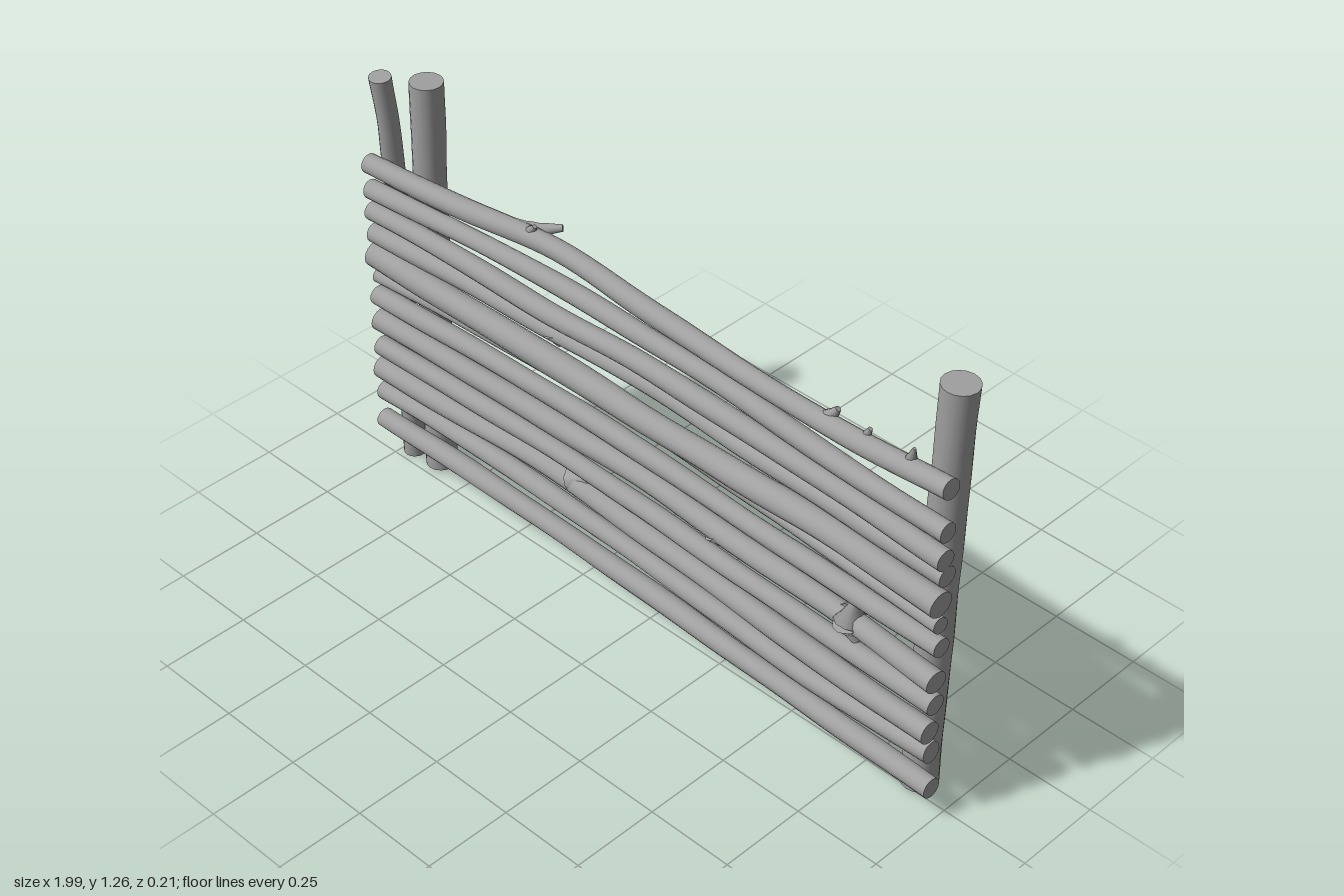
import * as THREE from 'three';

const wood = new THREE.MeshStandardMaterial({ color: 0xa0a0a0 });
wood.name = 'greyWood';

// Slightly uneven round branch through the points [x, y, z, radius], with flat sawn ends
function branch(name, pts, seed, wobble = 0.06, rings = 48, sides = 16) {
  const curve = new THREE.CatmullRomCurve3(pts.map(p => new THREE.Vector3(p[0], p[1], p[2])));
  const geo = new THREE.TubeGeometry(curve, rings, 1, sides, false);
  const pos = geo.attributes.position, nor = geo.attributes.normal;
  const centres = [];
  for (let i = 0; i <= rings; i++) {
    const u = i / rings, c = curve.getPointAt(u);
    centres.push(c);
    const f = curve.getUtoTmapping(u) * (pts.length - 1);
    const k = Math.min(Math.floor(f), pts.length - 2);
    const r0 = THREE.MathUtils.lerp(pts[k][3], pts[k + 1][3], f - k);
    for (let j = 0; j <= sides; j++) {
      const n = i * (sides + 1) + j, a = (j / sides) * Math.PI * 2;
      const r = r0 * (1 + wobble * (0.6 * Math.sin(u * 17 + seed * 2.3)
        + 0.5 * Math.sin(2 * a + seed + u * 5) + 0.4 * Math.sin(u * 31 + a + seed * 4.1)));
      pos.setXYZ(n, c.x + nor.getX(n) * r, c.y + nor.getY(n) * r, c.z + nor.getZ(n) * r);
    }
  }
  // Sawn ends
  const verts = [];
  const at = n => [pos.getX(n), pos.getY(n), pos.getZ(n)];
  for (let j = 0; j < sides; j++) {
    const e = rings * (sides + 1) + j;
    verts.push(...centres[0].toArray(), ...at(j), ...at(j + 1));
    verts.push(...centres[rings].toArray(), ...at(e + 1), ...at(e));
  }
  const cap = new THREE.BufferGeometry();
  cap.setAttribute('position', new THREE.Float32BufferAttribute(verts, 3));
  cap.computeVertexNormals();
  const group = new THREE.Group();
  group.name = name;
  const bark = new THREE.Mesh(geo, wood), ends = new THREE.Mesh(cap, wood);
  bark.name = name + 'Bark';
  ends.name = name + 'Ends';
  group.add(bark, ends);
  return group;
}

// Rail heights at the stations below, then radius, then z at left, middle and right
const stations = [-0.98, -0.65, -0.35, 0, 0.3, 0.62, 0.99];
const rails = [
  { y: [0.985, 0.995, 1.005, 0.985, 0.98, 1.0, 1.03], r: 0.028, z: [0.04, 0.025, -0.005, 0.0, 0.015, 0.045, 0.06] },
  { y: [0.905, 0.92, 0.927, 0.917, 0.915, 0.9, 0.905], r: 0.027, z: [0.04, 0.015, 0.06] },
  { y: [0.84, 0.845, 0.835, 0.845, 0.84, 0.835, 0.825], r: 0.028, z: [0.04, 0.03, 0.06] },
  { y: [0.77, 0.77, 0.762, 0.77, 0.757, 0.765, 0.77], r: 0.028, z: [0.04, 0.0, 0.05] },
  { y: [0.705, 0.692, 0.69, 0.68, 0.685, 0.7, 0.695], r: 0.036, z: [0.04, 0.03, 0.065] },
  { y: [0.632, 0.63, 0.622, 0.61, 0.607, 0.612, 0.63], r: 0.022, z: [0.035, -0.02, 0.06] },
  { y: [0.57, 0.573, 0.572, 0.562, 0.552, 0.55, 0.555], r: 0.028, z: [0.04, 0.02, 0.05] },
  { y: [0.492, 0.478, 0.468, 0.46, 0.447, 0.458, 0.455], r: 0.031, z: [0.04, 0.0, 0.06] },
  { y: [0.405, 0.402, 0.4, 0.385, 0.373, 0.372, 0.38], r: 0.028, z: [0.04, 0.02, 0.055] },
  { y: [0.335, 0.33, 0.338, 0.305, 0.293, 0.285, 0.3], r: 0.031, z: [0.045, 0.02, 0.07] },
  { y: [0.255, 0.256, 0.245, 0.225, 0.21, 0.2, 0.23], r: 0.028, z: [0.04, 0.025, 0.057] },
  { y: [0.162, 0.155, 0.142, 0.125, 0.112, 0.105, 0.102], r: 0.029, z: [0.045, 0.025, 0.045] },
];

// Height z of a rail at station i
function railZ(z, i) {
  if (z.length === stations.length) return z[i];
  const x = stations[i], side = x < 0 ? z[0] : z[2];
  return THREE.MathUtils.lerp(z[1], side, Math.abs(x) ** 1.5);
}

export function createModel() {
  const model = new THREE.Group();
  model.name = 'branchFence';

  // Upright posts
  model.add(branch('rightPost', [[0.89, 0.01, -0.035, 0.048], [0.898, 0.3, -0.036, 0.046],
    [0.91, 0.65, -0.03, 0.047], [0.925, 1.0, -0.02, 0.046], [0.936, 1.255, -0.015, 0.046]], 1, 0.03));
  model.add(branch('leftPost', [[-0.872, 0.01, -0.06, 0.045], [-0.868, 0.3, -0.058, 0.044],
    [-0.855, 0.65, -0.053, 0.045], [-0.842, 1.0, -0.047, 0.044], [-0.835, 1.255, -0.045, 0.044]], 2, 0.03));
  model.add(branch('thinLeftPost', [[-0.966, 0.005, -0.045, 0.03], [-0.956, 0.3, -0.03, 0.028],
    [-0.953, 0.6, -0.03, 0.028], [-0.95, 0.9, -0.02, 0.03], [-0.937, 1.1, 0.002, 0.029],
    [-0.935, 1.255, 0.022, 0.031]], 3));

  // Horizontal rails
  rails.forEach((rail, n) => {
    const pts = stations.map((x, i) => [x, rail.y[i], railZ(rail.z, i), rail.r]);
    model.add(branch('rail' + (n + 1), pts, n + 5));
  });

  // Cut twigs and knots: base [x, y, z], tip [x, y, z], base radius, tip radius
  const twigs = [
    [[-0.46, 1.0, 0.0], [-0.375, 1.015, -0.072], 0.03, 0.009],
    [[-0.42, 1.01, 0.0], [-0.4, 1.042, 0.0], 0.025, 0.006],
    [[0.6, 1.0, 0.04], [0.63, 1.045, 0.03], 0.028, 0.008],
    [[0.72, 1.01, 0.045], [0.735, 1.05, 0.04], 0.02, 0.006],
    [[0.86, 1.02, 0.05], [0.872, 1.075, 0.05], 0.026, 0.004],
    [[-0.33, 0.765, 0.01], [-0.315, 0.725, 0.0], 0.03, 0.01],
    [[0.55, 0.765, 0.015], [0.52, 0.75, -0.03], 0.025, 0.012],
    [[0.71, 0.46, 0.04], [0.712, 0.523, 0.03], 0.045, 0.008],
    [[0.71, 0.46, 0.04], [0.72, 0.402, 0.03], 0.045, 0.014],
    [[0.7, 0.46, 0.035], [0.7, 0.465, -0.03], 0.04, 0.02],
    [[0.24, 0.445, 0.01], [0.272, 0.397, -0.01], 0.035, 0.012],
    [[-0.38, 0.47, 0.01], [-0.42, 0.465, -0.045], 0.03, 0.015],
    [[-0.26, 0.335, 0.025], [-0.185, 0.365, 0.005], 0.036, 0.014],
    [[-0.55, 0.33, 0.03], [-0.56, 0.302, 0.025], 0.025, 0.01],
    [[-0.953, 0.72, -0.025], [-0.985, 0.75, -0.035], 0.026, 0.01],
  ];
  twigs.forEach(([a, b, r0, r1], n) => {
    const mid = a.map((v, i) => (v + b[i]) / 2);
    model.add(branch('twig' + (n + 1),
      [[...a, r0], [...mid, r0 * 0.4 + r1 * 0.6], [...b, r1]], n + 20, 0.05, 6, 10));
  });
  return model;
}
